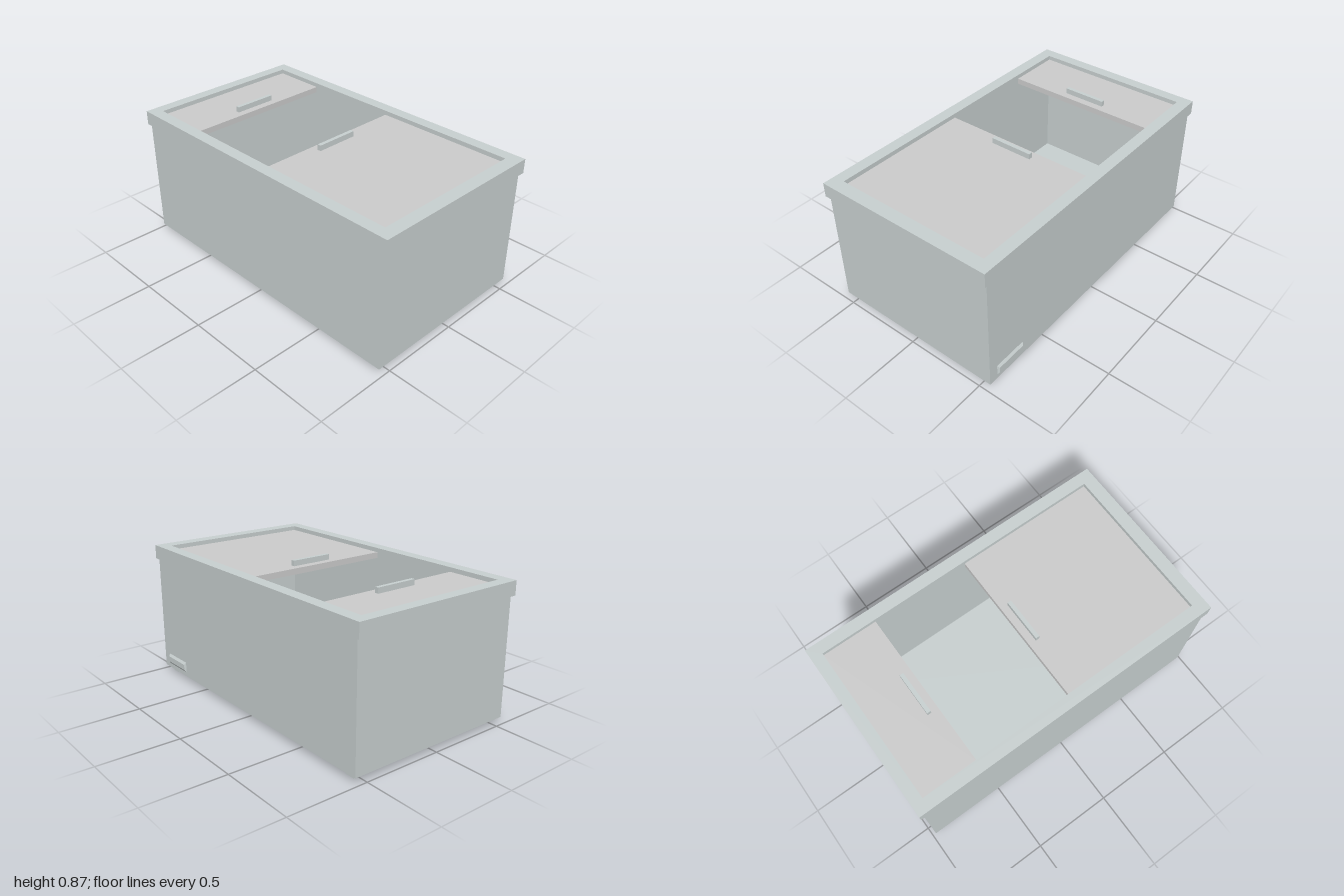
import * as THREE from 'three';

const bodyMat = new THREE.MeshStandardMaterial({ color: 0xc8d0d0 });
const lidMat = new THREE.MeshStandardMaterial({ color: 0xcccccc });

// Interior opening shared by the walls and the rim
const IN = { x: 0.497, back: -0.93, front: 0.92 };
const BODY = { x: 0.56, z: 0.978 };
const RIM = { x: 0.571, z: 1 };

export function createModel() {
  const root = new THREE.Group();
  root.name = 'chestFreezer';

  const add = (name, geometry, material = bodyMat) => {
    const mesh = new THREE.Mesh(geometry, material);
    mesh.name = name;
    root.add(mesh);
    return mesh;
  };

  // Box given by its limits on each axis
  const box = (name, x0, x1, y0, y1, z0, z1, material) =>
    add(name, new THREE.BoxGeometry(x1 - x0, y1 - y0, z1 - z0), material)
      .position.set((x0 + x1) / 2, (y0 + y1) / 2, (z0 + z1) / 2);

  // Rectangular ring around the opening, from y0 up to y1
  const frame = (hx, hz, y0, y1) => {
    const shape = new THREE.Shape([[-hx, -hz], [hx, -hz], [hx, hz], [-hx, hz]]
      .map(p => new THREE.Vector2(...p)));
    shape.holes.push(new THREE.Path([[-IN.x, -IN.front], [-IN.x, -IN.back], [IN.x, -IN.back], [IN.x, -IN.front]]
      .map(p => new THREE.Vector2(...p))));
    return new THREE.ExtrudeGeometry(shape, { depth: y1 - y0, bevelEnabled: false })
      .rotateX(-Math.PI / 2).translate(0, y0, 0);
  };

  // Cabinet: insulated floor and hollow walls
  box('cabinetFloor', -BODY.x, BODY.x, 0.033, 0.14, -BODY.z, BODY.z);
  add('cabinetWalls', frame(BODY.x, BODY.z, 0.14, 0.766));

  // Top rim with a narrow sloped underside
  add('rim', frame(RIM.x, RIM.z, 0.772, 0.86));
  const lip = frame(RIM.x, RIM.z, 0.766, 0.772);
  const pos = lip.attributes.position;
  for (let i = 0; i < pos.count; i++) {
    if (pos.getY(i) > 0.769) continue;
    if (Math.abs(pos.getX(i)) > BODY.x) pos.setX(i, Math.sign(pos.getX(i)) * BODY.x);
    if (Math.abs(pos.getZ(i)) > BODY.z) pos.setZ(i, Math.sign(pos.getZ(i)) * BODY.z);
  }
  lip.computeVertexNormals();
  add('rimUnderside', lip);

  // Two sliding lids, partly open, each with a grip bar
  box('frontLid', -IN.x, IN.x, 0.796, 0.833, 0.035, IN.front, lidMat);
  box('rearLid', -IN.x, IN.x, 0.796, 0.833, IN.back, -0.585, lidMat);
  box('frontLidHandle', -0.135, 0.135, 0.833, 0.867, 0.081, 0.105);
  box('rearLidHandle', -0.135, 0.135, 0.833, 0.867, -0.655, -0.631);

  // Feet
  for (const sx of [-1, 1]) {
    for (const sz of [-1, 1]) {
      const x = sx * 0.446, z = sz * 0.899;
      box('foot', x - 0.083, x + 0.083, 0, 0.033, z - 0.034, z + 0.034);
    }
  }

  // Side vent: a shallow plate tapering outward
  const vent = new THREE.BoxGeometry(0.011, 0.068, 0.217).toNonIndexed();
  const vp = vent.attributes.position;
  for (let i = 0; i < vp.count; i++) {
    if (vp.getX(i) < 0) continue;
    vp.setY(i, Math.sign(vp.getY(i)) * 0.018);
    vp.setZ(i, Math.sign(vp.getZ(i)) * 0.1);
  }
  vent.computeVertexNormals();
  add('sideVent', vent).position.set(0.5655, 0.095, 0.81);

  return root;
}
